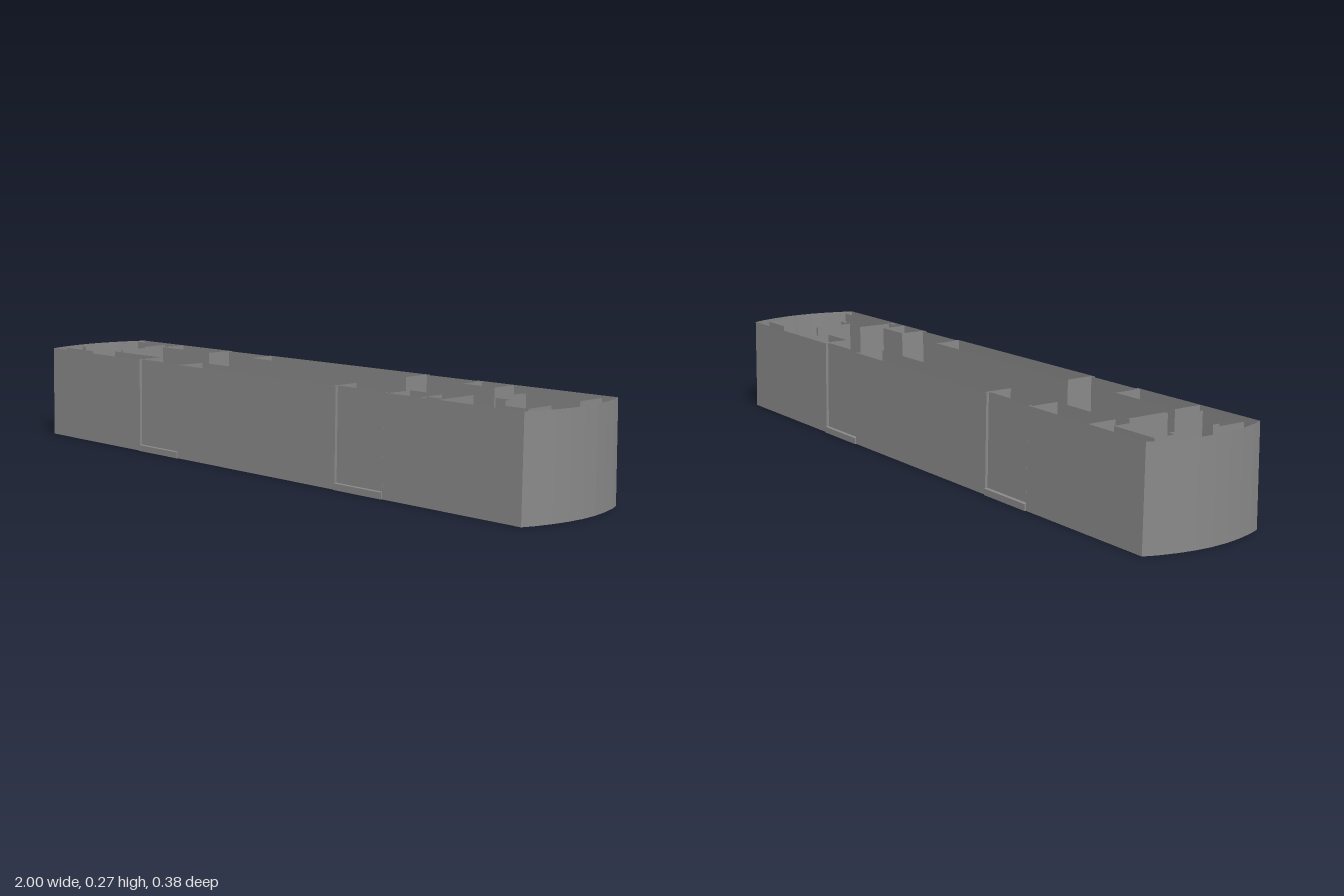
import * as THREE from 'three';

const TOP = 0.274, FLOOR = 0.008, SIDE = 0.184, TAPER = 0.98;
const DOORS = [[-0.51, -0.33], [0.33, 0.505]];

export function createModel() {
  const model = new THREE.Group();
  const material = new THREE.MeshStandardMaterial({
    color: 0x888888, flatShading: true, side: THREE.DoubleSide,
  });

  function add(name, geometry) {
    const mesh = new THREE.Mesh(geometry, material);
    mesh.name = name;
    model.add(mesh);
    return mesh;
  }

  // Upright thin sheet following a plan path of [x, z] points; zScale narrows its top
  function sheet(name, path, y0 = FLOOR, zScale = 1) {
    const pos = [], index = [];
    path.forEach(([x, z], i) => {
      pos.push(x, y0, z, x, TOP, z * zScale);
      if (i > 0) {
        const a = 2 * (i - 1);
        index.push(a, a + 2, a + 1, a + 1, a + 2, a + 3);
      }
    });
    const g = new THREE.BufferGeometry();
    g.setAttribute('position', new THREE.Float32BufferAttribute(pos, 3));
    g.setIndex(index);
    g.computeVertexNormals();
    return add(name, g);
  }

  // Outer body: shallow faceted bows at both ends, running back to the door openings
  const bow = [[0.96, SIDE], [0.974, 0.15], [0.988, 0.1], [0.997, 0.05], [1, 0],
    [0.997, -0.05], [0.988, -0.1], [0.974, -0.15], [0.96, -SIDE]];
  const frontDoor = DOORS[1][1], rearDoor = DOORS[0][0];
  sheet('frontBody', [[frontDoor, SIDE], ...bow, [frontDoor, -SIDE]], 0, TAPER);
  sheet('rearBody', [[rearDoor, -SIDE], ...bow.map(([x, z]) => [-x, -z]), [rearDoor, SIDE]], 0, TAPER);

  // Floor with slots under the two hollow bulkheads
  const floor = new THREE.Shape();
  floor.moveTo(-0.945, -0.168).lineTo(0.94, -0.168).lineTo(0.94, 0.168).lineTo(-0.945, 0.168).closePath();
  for (const x of [-0.765, 0.757]) {
    const slot = [[x - 0.004, -0.068], [x + 0.004, -0.068], [x + 0.004, 0.055], [x - 0.004, 0.055]];
    floor.holes.push(new THREE.Path(slot.map(([px, pz]) => new THREE.Vector2(px, pz))));
    sheet('hollowBulkhead', [...slot, slot[0]]);
  }
  const floorGeometry = new THREE.ShapeGeometry(floor);
  floorGeometry.rotateX(Math.PI / 2);
  add('floor', floorGeometry).position.y = FLOOR;

  for (const s of [1, -1]) {
    const side = (pts) => pts.map(([x, z]) => [x, s * z]);

    sheet('middleBody', side([[DOORS[0][1], SIDE], [DOORS[1][0], SIDE]]), 0, TAPER);

    // Doors set back in their openings, each over a slightly proud step
    for (const [x0, x1] of DOORS) {
      sheet('doorPanel', side([[x0, SIDE], [x0, 0.176], [x1, 0.176], [x1, SIDE]]), 0.018, TAPER);
      sheet('doorInnerLeaf', side([[x0, 0.176], [x0, 0.168], [x1, 0.168], [x1, 0.176]]));
      const step = add('doorStep', new THREE.BoxGeometry(x1 - x0, 0.018, 0.022));
      step.position.set((x0 + x1) / 2, 0.009, s * 0.177);
    }

    // Open-topped casings along the aisle, reaching just below the floor
    for (const [x0, x1, z] of [[-0.75, -0.52, 0.095], [-0.32, 0.32, 0.095], [0.52, 0.63, 0.1]]) {
      sheet('sideCasing', side([[x0, 0.178], [x0, z], [x1, z], [x1, 0.178]]), 0.002);
    }

    // Cab linings at both ends
    sheet('rearCabLining', side([[-0.945, 0.055], [-0.945, 0.142], [-0.8, 0.142], [-0.8, 0.06]]));
    sheet('frontCabLining', side([[0.94, 0.055], [0.94, 0.142], [0.84, 0.142]]));
    sheet('cabPost', side([[-0.945, 0.08], [-0.925, 0.08], [-0.925, 0.06]]));
  }

  // Equipment cabinet beside the front cab
  sheet('equipmentCabinet', [[0.69, 0.178], [0.69, 0.05], [0.81, 0.05], [0.81, 0.07]]);
  sheet('cabinetLink', [[0.63, 0.158], [0.69, 0.158]]);

  return model;
}
